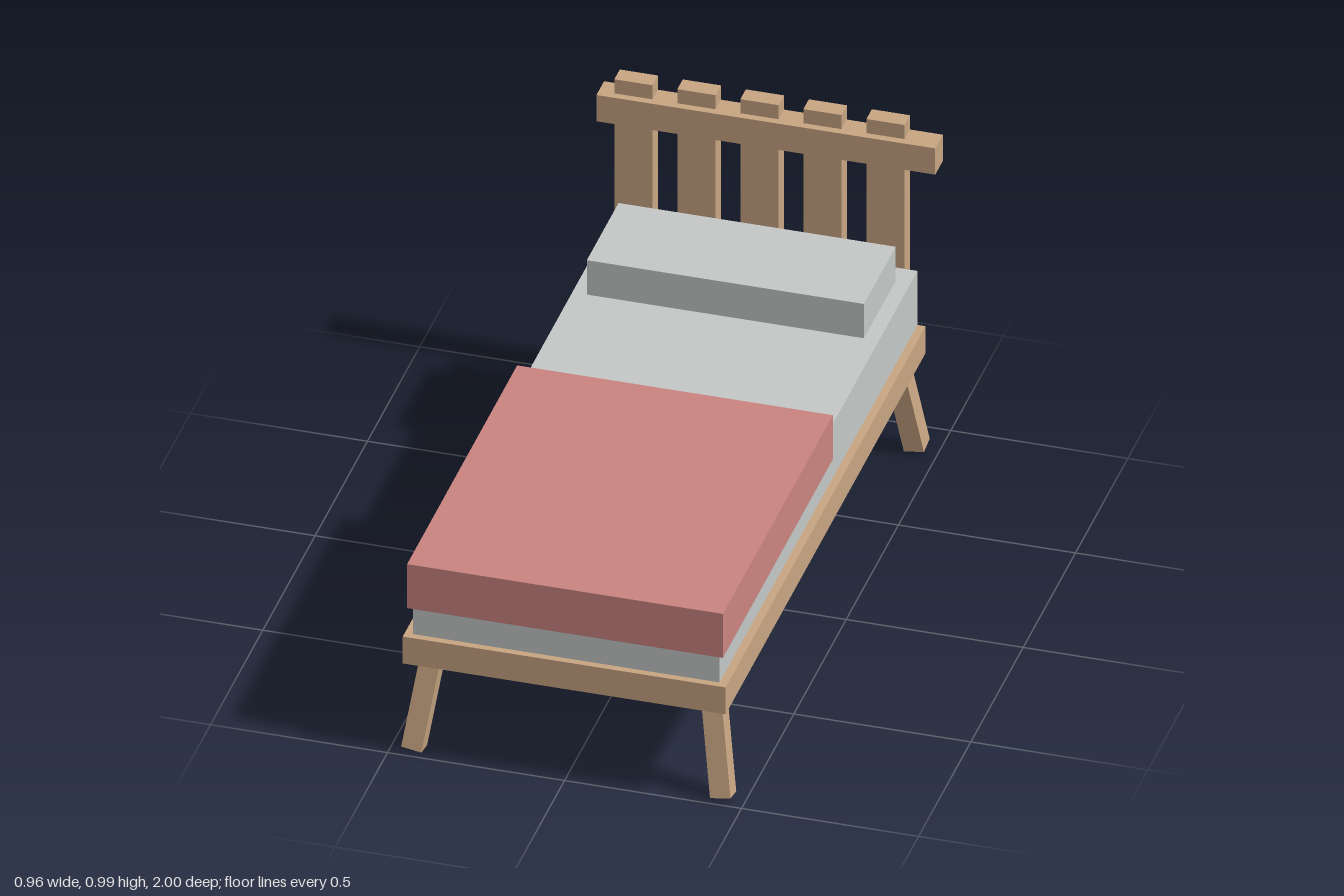
import * as THREE from 'three';

const material = (name, color) => Object.assign(new THREE.MeshStandardMaterial({ color }), { name });

export function createModel() {
  const wood = material('wood', 0xc8a582);
  const linen = material('linen', 0xc4c8c6);
  const red = material('blanket red', 0xcb8480);
  const bed = new THREE.Group();
  bed.name = 'bed';

  // Box given by its lower and upper bounds on each axis
  function block(name, mat, [x0, x1], [y0, y1], [z0, z1], parent = bed) {
    const mesh = new THREE.Mesh(new THREE.BoxGeometry(x1 - x0, y1 - y0, z1 - z0), mat);
    mesh.position.set((x0 + x1) / 2, (y0 + y1) / 2, (z0 + z1) / 2);
    mesh.name = name;
    parent.add(mesh);
  }

  // Base and bedding
  block('frame', wood, [-0.457, 0.455], [0.294, 0.38], [-0.912, 1]);
  block('mattress', linen, [-0.434, 0.432], [0.38, 0.553], [-0.912, 0.98]);
  block('pillow', linen, [-0.393, 0.39], [0.553, 0.663], [-0.846, -0.543]);
  block('blanket', red, [-0.447, 0.445], [0.468, 0.609], [-0.06, 0.992]);

  // Headboard: five upright slats joined by a cross rail
  const headboard = new THREE.Group();
  headboard.name = 'headboard';
  bed.add(headboard);
  for (let i = 0; i < 5; i++) {
    const x = -0.381 + i * 0.178;
    block('slat', wood, [x - 0.054, x + 0.054], [0.38, 0.99], [-1, -0.948], headboard);
  }
  block('rail', wood, [-0.479, 0.478], [0.861, 0.945], [-0.999, -0.926], headboard);

  // Splayed legs, pivoting where they meet the frame
  const legGeometry = new THREE.BoxGeometry(0.058, 0.313, 0.056).translate(0, -0.1365, 0);
  for (const sx of [-1, 1]) {
    for (const sz of [-1, 1]) {
      const leg = new THREE.Mesh(legGeometry, wood);
      leg.name = sz > 0 ? 'frontLeg' : 'backLeg';
      leg.position.set(sx * 0.395, 0.295, sz > 0 ? 0.909 : -0.838);
      leg.rotation.set(-sz * 0.18, 0, sx * 0.142);
      bed.add(leg);
    }
  }
  return bed;
}
